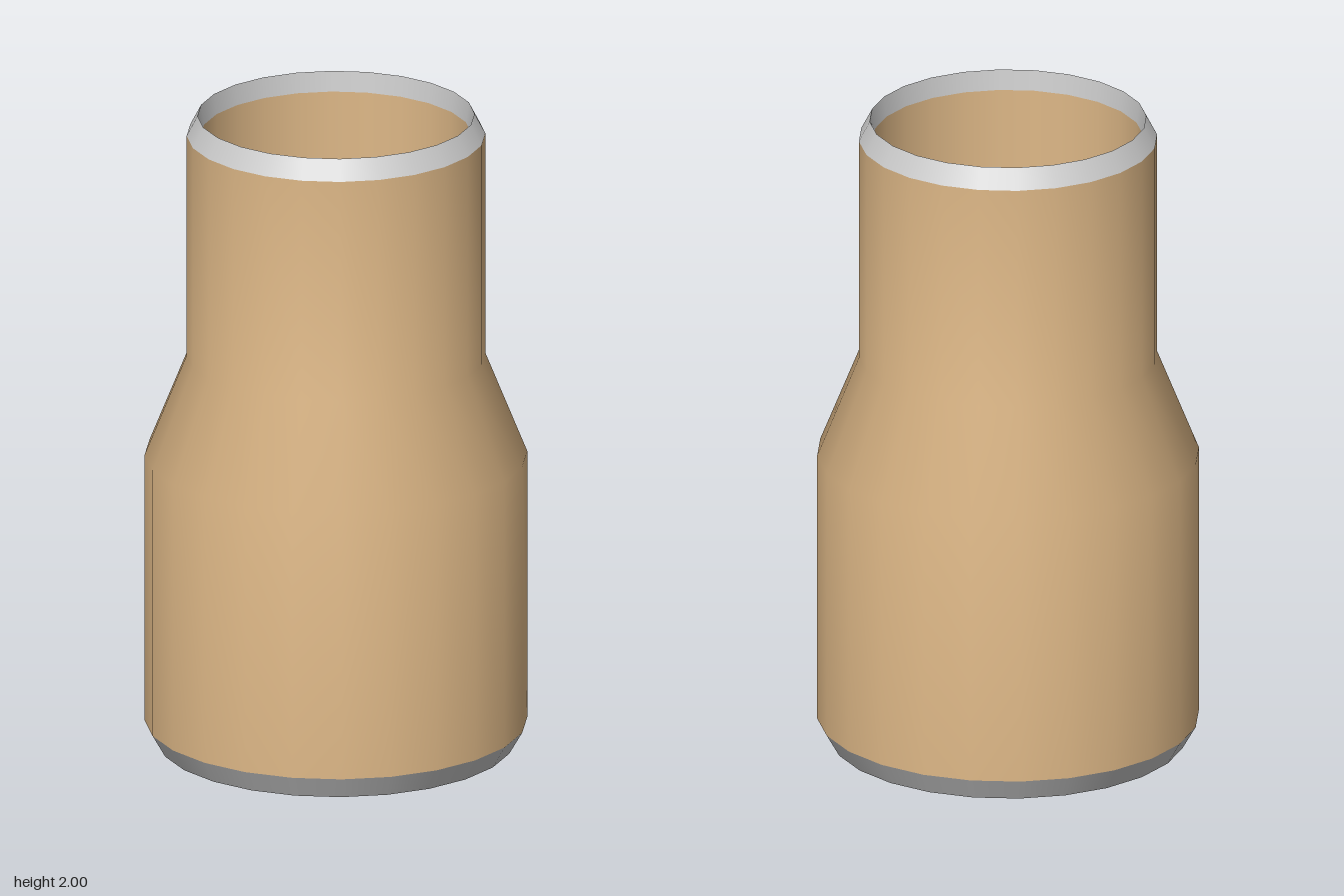
import * as THREE from 'three';

const SIDES = 24;
const tan = new THREE.MeshStandardMaterial({ color: 0xdeb887 });
const grey = new THREE.MeshStandardMaterial({ color: 0xcccccc });

// Revolves a [radius, height] profile; corners inside one profile are shaded smooth
function turned(name, profile, material) {
  const points = profile.map(([r, y]) => new THREE.Vector2(r, y));
  const mesh = new THREE.Mesh(new THREE.LatheGeometry(points, SIDES), material);
  mesh.name = name;
  return mesh;
}

function part(name, ...meshes) {
  const group = new THREE.Group();
  group.name = name;
  group.add(...meshes);
  return group;
}

export function createModel() {
  const model = new THREE.Group();
  model.name = 'pipeReducer';

  // Outside: wide lower pipe, sloping shoulder, narrow upper pipe
  const outer = [[0.58, 0.07], [0.58, 0.92], [0.453, 1.235], [0.453, 1.937]];

  // Inside, from the top down: socket, stop ledge, tapered throat, ledge, socket
  const inner = [
    [0.411, 1.937], [0.411, 1.235], [0.37, 1.235],
    [0.495, 0.92], [0.532, 0.92], [0.532, 0.07]
  ];
  const innerNames = ['topSocket', 'topLedge', 'throat', 'bottomLedge', 'bottomSocket'];

  model.add(part('body',
    turned('outerWall', outer, tan),
    ...innerNames.map((name, i) => turned(name, [inner[i], inner[i + 1]], tan))
  ));

  // Bevelled end rings: a sloping outer face and a near-upright inner face
  model.add(part('topRing',
    turned('topBevel', [[0.453, 1.937], [0.42, 2]], grey),
    turned('topRingInside', [[0.42, 2], [0.411, 1.937]], grey)
  ));
  model.add(part('bottomRing',
    turned('bottomBevel', [[0.54, 0], [0.58, 0.07]], grey),
    turned('bottomRingInside', [[0.532, 0.07], [0.54, 0]], grey)
  ));
  return model;
}
